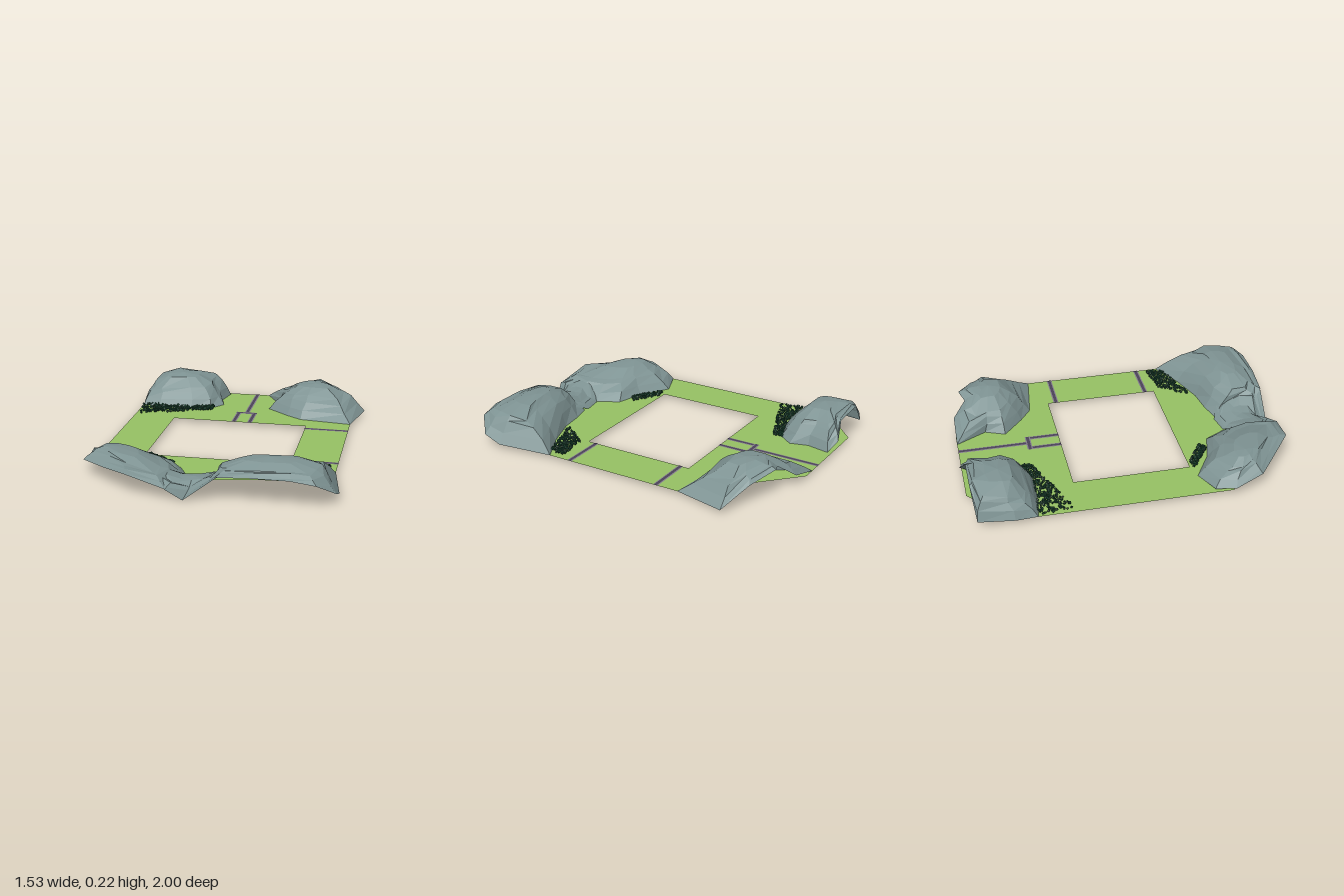
import * as THREE from 'three';
import { mergeGeometries } from 'three/addons/utils/BufferGeometryUtils.js';

const GROUND = 0.02;

function material(name, color, double = false) {
  const m = new THREE.MeshStandardMaterial({ color });
  m.name = name;
  m.flatShading = true;
  if (double) m.side = THREE.DoubleSide;
  return m;
}

// Small seeded generator for jitter and scatter
function seeded(seed) {
  let s = seed;
  return () => (s = (s * 16807) % 2147483647) / 2147483647;
}

// Open rock shell: each row joins a rim point to a crest point [x, y, z, x, y, z];
// rings between them bulge outward, and the top closes on a peak.
function rockGeometry(rows, peak, seed) {
  const rand = seeded(seed);
  const top = new THREE.Vector3(...peak);
  const rings = [0, 0.35, 0.7, 1].map((t) => rows.map(([x, y, z, cx, cy, cz]) => {
    const j = t === 0 ? 0 : 0.018;
    const rise = 1 - (1 - t) ** 1.3;
    return new THREE.Vector3(
      x + (cx - x) * t + (rand() - 0.5) * j,
      y + (cy - y) * rise + (rand() - 0.5) * j * 0.8,
      z + (cz - z) * t + (rand() - 0.5) * j);
  }));
  // Flattened cap ring
  rings.push(rings[3].map((p) => {
    const q = p.clone().lerp(top, 0.45);
    q.y = p.y + (top.y - p.y) * 0.8;
    return q;
  }));

  const pos = [];
  const tri = (a, b, c) => { for (const p of [a, b, c]) pos.push(p.x, p.y, p.z); };
  const n = rows.length;
  for (let r = 0; r < rings.length - 1; r++) {
    for (let i = 0; i < n; i++) {
      const k = (i + 1) % n;
      tri(rings[r][i], rings[r][k], rings[r + 1][k]);
      tri(rings[r][i], rings[r + 1][k], rings[r + 1][i]);
    }
  }
  const last = rings[rings.length - 1];
  for (let i = 0; i < n; i++) tri(last[i], last[(i + 1) % n], top);
  const g = new THREE.BufferGeometry();
  g.setAttribute('position', new THREE.Float32BufferAttribute(pos, 3));
  g.computeVertexNormals();
  return g;
}

// Outer rims are raised off the ground, so the shells arch open to the outside
const ROCKS = {
  frontLeftRock: { peak: [0.36, 0.222, 0.78], rows: [
    [0.09, 0.15, 0.97, 0.14, 0.185, 0.9], [0.3, 0.165, 0.985, 0.3, 0.195, 0.92],
    [0.5, 0.165, 0.985, 0.48, 0.195, 0.92], [0.64, 0.14, 0.97, 0.58, 0.19, 0.91],
    [0.74, 0.07, 0.88, 0.63, 0.185, 0.85], [0.745, 0.03, 0.77, 0.64, 0.185, 0.75],
    [0.69, 0.02, 0.43, 0.61, 0.165, 0.66], [0.5, 0.02, 0.53, 0.48, 0.18, 0.68],
    [0.3, 0.02, 0.6, 0.3, 0.185, 0.7], [0.15, 0.02, 0.62, 0.18, 0.18, 0.72],
    [0.03, 0.02, 0.65, 0.1, 0.17, 0.78], [0.05, 0.11, 0.92, 0.1, 0.175, 0.86]] },
  saddleRock: { peak: [-0.06, 0.085, 0.8], rows: [
    [-0.18, 0.07, 0.995, -0.15, 0.085, 0.92], [-0.09, 0, 0.96, -0.07, 0.05, 0.89],
    [0.09, 0.14, 0.97, 0.05, 0.12, 0.9], [0.12, 0.13, 0.85, 0.08, 0.13, 0.82],
    [0.12, 0.07, 0.68, 0.06, 0.1, 0.74], [0, 0.02, 0.64, 0, 0.065, 0.7],
    [-0.12, 0.02, 0.66, -0.1, 0.06, 0.72], [-0.25, 0.1, 0.74, -0.2, 0.1, 0.78],
    [-0.25, 0.1, 0.9, -0.2, 0.1, 0.86]] },
  frontRightRock: { peak: [-0.57, 0.175, 0.65], rows: [
    [-0.18, 0.07, 0.99, -0.27, 0.125, 0.88], [-0.13, 0.05, 0.82, -0.25, 0.125, 0.78],
    [-0.13, 0.02, 0.66, -0.28, 0.12, 0.68], [-0.2, 0.02, 0.53, -0.35, 0.125, 0.61],
    [-0.38, 0.02, 0.48, -0.43, 0.135, 0.56], [-0.56, 0.02, 0.37, -0.55, 0.135, 0.52],
    [-0.72, 0.03, 0.43, -0.66, 0.135, 0.54], [-0.77, 0.05, 0.54, -0.69, 0.14, 0.6],
    [-0.73, 0.1, 0.71, -0.66, 0.155, 0.67], [-0.58, 0.11, 0.83, -0.56, 0.16, 0.73],
    [-0.42, 0.13, 0.96, -0.44, 0.15, 0.84]] },
  backLeftRock: { peak: [0.43, 0.2, -0.74], rows: [
    [0.36, 0.02, -0.49, 0.4, 0.15, -0.6], [0.69, 0.02, -0.45, 0.58, 0.13, -0.62],
    [0.76, 0.02, -0.76, 0.62, 0.15, -0.75], [0.6, 0.12, -0.85, 0.55, 0.17, -0.8],
    [0.44, 0.17, -0.93, 0.44, 0.19, -0.86], [0.36, 0.15, -0.9, 0.36, 0.19, -0.83],
    [0.28, 0.08, -0.98, 0.28, 0.15, -0.87], [0.07, 0.02, -0.985, 0.22, 0.12, -0.85],
    [0.17, 0.02, -0.8, 0.22, 0.13, -0.77], [0.12, 0.02, -0.68, 0.22, 0.13, -0.69],
    [0.26, 0.02, -0.56, 0.3, 0.15, -0.63]] },
  backRightRock: { peak: [-0.5, 0.212, -0.8], rows: [
    [-0.62, 0.02, -0.59, -0.62, 0.13, -0.67], [-0.4, 0.02, -0.58, -0.42, 0.15, -0.67],
    [-0.27, 0.02, -0.62, -0.33, 0.14, -0.69], [-0.2, 0.02, -0.71, -0.3, 0.15, -0.76],
    [-0.23, 0.02, -0.82, -0.31, 0.16, -0.84], [-0.2, 0.02, -0.96, -0.29, 0.16, -0.92],
    [-0.26, 0.08, -1, -0.31, 0.17, -0.94], [-0.36, 0.17, -0.97, -0.38, 0.185, -0.92],
    [-0.58, 0.18, -0.97, -0.56, 0.2, -0.93], [-0.73, 0.03, -0.95, -0.68, 0.17, -0.91],
    [-0.76, 0.03, -0.74, -0.69, 0.15, -0.78], [-0.74, 0.02, -0.61, -0.69, 0.12, -0.7]] },
};

// Shrub patches: quads (x, z) filled with small leaf clumps
const SHRUBS = {
  backShrubs: { count: 330, quad: [[-0.74, -0.61], [-0.24, -0.63], [-0.26, -0.57], [-0.71, -0.4]] },
  frontRightShrubs: { count: 130, quad: [[-0.49, 0.37], [-0.42, 0.36], [-0.26, 0.46], [-0.3, 0.5]] },
  frontLeftShrubs: { count: 210, quad: [[0.45, 0.38], [0.66, 0.35], [0.63, 0.46], [0.31, 0.57]] },
};

function shrubGeometry({ count, quad }, seed) {
  const rand = seeded(seed);
  const [a, b, c, d] = quad.map(([x, z]) => new THREE.Vector2(x, z));
  const clumps = [];
  for (let i = 0; i < count; i++) {
    const u = rand(), v = rand();
    const p = a.clone().lerp(b, u).lerp(d.clone().lerp(c, u), v);
    const g = new THREE.OctahedronGeometry(0.007 + rand() * 0.005);
    g.rotateY(rand() * 3);
    g.rotateX(rand() * 2);
    g.translate(p.x, GROUND + 0.007 + rand() * 0.011, p.y);
    clumps.push(g);
  }
  return mergeGeometries(clumps);
}

export function createModel() {
  const model = new THREE.Group();
  const grass = material('grass green', 0x97c364, true);
  const stone = material('rock grey', 0x7f9494, true);
  const leaf = material('leaf green', 0x1d4a35);
  const paving = material('paving grey', 0x857e8c);
  const gravel = material('gravel purple', 0x4b4359);

  const add = (name, geometry, mat, parent = model) => {
    const mesh = new THREE.Mesh(geometry, mat);
    mesh.name = name;
    parent.add(mesh);
    return mesh;
  };

  // Flat lawn with a rectangular opening
  const toShape = (pts, Type) => new Type(pts.map(([x, z]) => new THREE.Vector2(x, -z)));
  const lawn = toShape([[-0.74, 0.54], [-0.45, 0.56], [-0.25, 0.62], [-0.1, 0.7], [0.05, 0.68],
    [0.3, 0.63], [0.69, 0.6], [0.69, -0.47], [0.15, -0.985], [-0.46, -0.985], [-0.74, -0.73]], THREE.Shape);
  lawn.holes.push(toShape([[-0.465, -0.36], [0.412, -0.36], [0.412, 0.345], [-0.465, 0.345]], THREE.Path));
  add('lawn', new THREE.ShapeGeometry(lawn).rotateX(-Math.PI / 2).translate(0, GROUND, 0), grass);

  Object.entries(ROCKS).forEach(([name, r], i) =>
    add(name, rockGeometry(r.rows, r.peak, 101 + i * 37), stone));

  Object.entries(SHRUBS).forEach(([name, s], i) => add(name, shrubGeometry(s, 77 + i * 13), leaf));

  // Narrow paths: a pale paved strip with a dark band along the middle
  const strip = (name, x0, z0, x1, z1) => {
    const path = new THREE.Group();
    path.name = name;
    const length = Math.hypot(x1 - x0, z1 - z0);
    const plate = (width) => new THREE.PlaneGeometry(length, width).rotateX(-Math.PI / 2);
    add('paving', plate(0.032), paving, path);
    add('gravel', plate(0.018), gravel, path).position.y = 0.001;
    path.position.set((x0 + x1) / 2, GROUND + 0.0015, (z0 + z1) / 2);
    path.rotation.y = -Math.atan2(z1 - z0, x1 - x0);
    model.add(path);
  };
  strip('backPath', -0.01, -0.985, -0.01, -0.569);
  strip('forkBar', -0.08, -0.553, 0.058, -0.553);
  strip('forkRightLeg', -0.063, -0.537, -0.063, -0.36);
  strip('forkLeftLeg', 0.042, -0.537, 0.042, -0.36);
  strip('sidePathBack', 0.412, -0.308, 0.69, -0.308);
  strip('sidePathFront', 0.412, 0.288, 0.69, 0.288);

  return model;
}
